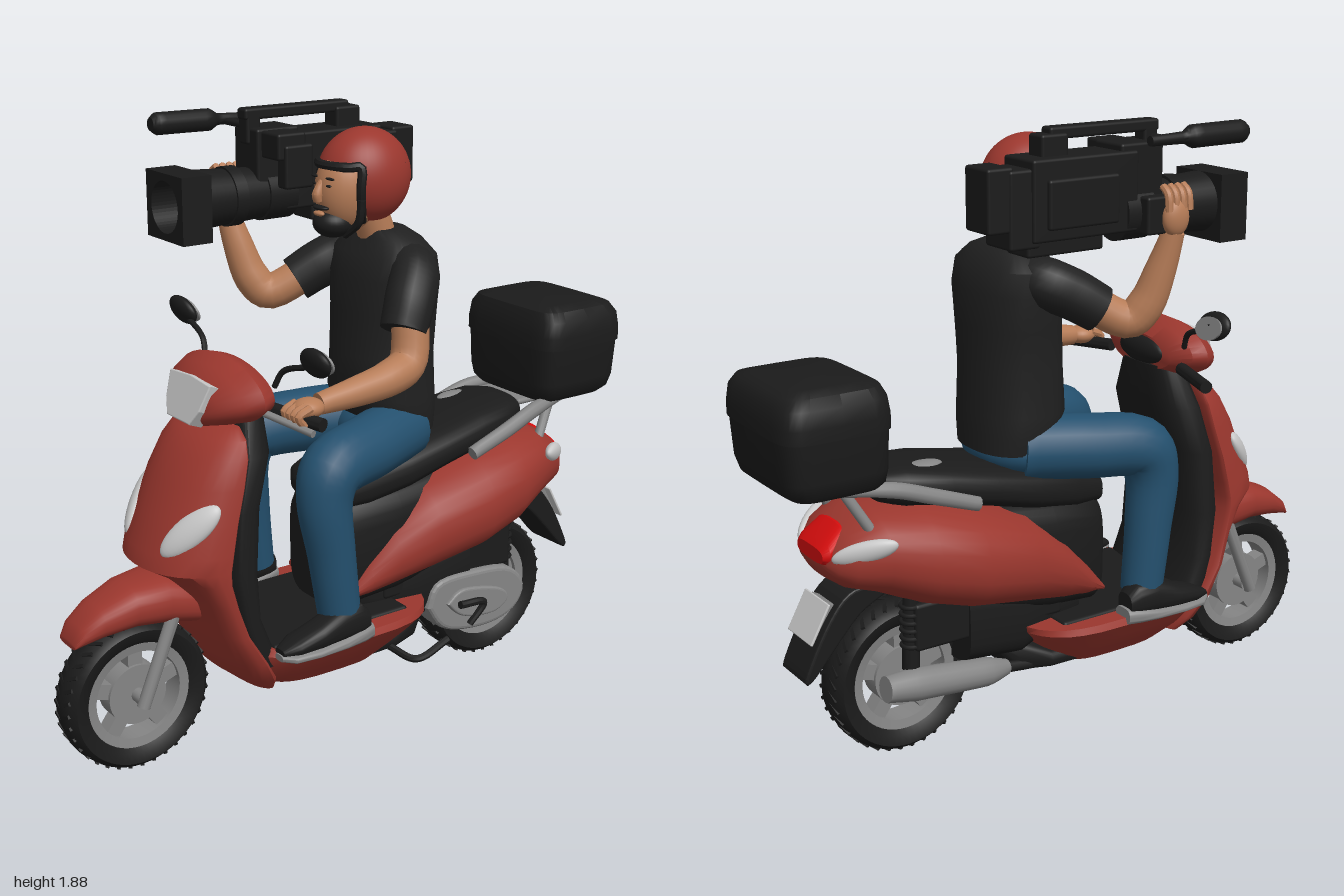
import * as THREE from 'three';
import { toCreasedNormals } from 'three/addons/utils/BufferGeometryUtils.js';
import { RoundedBoxGeometry } from 'three/addons/geometries/RoundedBoxGeometry.js';

const V = (x, y, z) => new THREE.Vector3(x, y, z);
const mat = (name, color, side = THREE.FrontSide) => {
  const m = new THREE.MeshStandardMaterial({ color, side });
  m.name = name;
  return m;
};

// Closed surface through a list of rings, capped at both ends
function skin(rings, crease = 0.7) {
  const n = rings[0].length, pts = rings.flat(), idx = [];
  for (let i = 0; i < rings.length - 1; i++) for (let j = 0; j < n; j++) {
    const a = i * n + j, b = i * n + (j + 1) % n;
    idx.push(a, b, a + n, b, b + n, a + n);
  }
  [0, rings.length - 1].forEach((r, end) => {
    const c = pts.length;
    pts.push(rings[r].reduce((s, p) => s.add(p), V(0, 0, 0)).divideScalar(n));
    for (let j = 0; j < n; j++) {
      const a = r * n + j, b = r * n + (j + 1) % n;
      idx.push(...(end ? [a, b, c] : [b, a, c]));
    }
  });
  let vol = 0;
  for (let i = 0; i < idx.length; i += 3) {
    const [a, b, c] = [0, 1, 2].map(k => pts[idx[i + k]].clone().sub(pts[0]));
    vol += a.dot(b.cross(c));
  }
  if (vol < 0) idx.reverse();
  const g = new THREE.BufferGeometry().setFromPoints(pts);
  g.setIndex(idx);
  return toCreasedNormals(g, crease);
}
const sq = (v, e) => Math.sign(v) * Math.pow(Math.abs(v), 2 / e);
const ring = (n, f) => Array.from({ length: n }, (_, j) => {
  const a = (j / n) * Math.PI * 2;
  return f(Math.cos(a), Math.sin(a));
});
// Cross-sections along z: [z, bottom, top, halfWidth]
const zLoft = (rows, e = 2.5, x = 0) => skin(rows.map(([z, b, t, w]) =>
  ring(32, (c, s) => V(x + w * sq(c, e), (b + t) / 2 + (t - b) / 2 * sq(s, e), z))));
// Cross-sections along y: [y, centreZ, halfWidth, frontDepth, backDepth]
const yLoft = (rows, e = 2.5) => skin(rows.map(([y, z, w, f, k = f]) =>
  ring(32, (c, s) => V(w * sq(c, e), y, z + (s > 0 ? f : k) * sq(s, e)))));
// Tapered limb through points: [x, y, z, radius]
function limb(pts, n = 16, steps = 18) {
  const curve = new THREE.CatmullRomCurve3(pts.map(p => V(p[0], p[1], p[2])));
  let nor = null;
  return skin(Array.from({ length: steps + 1 }, (_, i) => {
    const t = i / steps, p = curve.getPoint(t), tan = curve.getTangent(t);
    nor = nor || (Math.abs(tan.y) < 0.9 ? V(0, 1, 0) : V(1, 0, 0));
    nor = nor.clone().addScaledVector(tan, -nor.dot(tan)).normalize();
    const bi = tan.clone().cross(nor), f = t * (pts.length - 1), k = Math.min(Math.floor(f), pts.length - 2);
    const r = THREE.MathUtils.lerp(pts[k][3], pts[k + 1][3], f - k);
    return ring(n, (c, s) => p.clone().addScaledVector(nor, r * c).addScaledVector(bi, r * s));
  }));
}
const rod = (a, b, r) => limb([[...a, r], [...b, r]], 12, 1);
// Rounded outline in the z-y plane, extruded across x from x0
function sidePlate(pts, x0, depth, bevel = 0.015) {
  const s = new THREE.Shape().setFromPoints(new THREE.SplineCurve([...pts, pts[0]].map(p => new THREE.Vector2(...p))).getPoints(36).slice(0, -1));
  return new THREE.ExtrudeGeometry(s, { depth, bevelSize: bevel, bevelThickness: bevel, bevelSegments: 3 })
    .rotateY(-Math.PI / 2).translate(x0 + depth, 0, 0);
}
const ball = (x, y, z, a, b, c) => new THREE.SphereGeometry(1, 28, 20).scale(a, b, c).translate(x, y, z);
const box = (x, y, z, w, h, d, r = 0.012) => new RoundedBoxGeometry(w, h, d, 2, r).translate(x, y, z);

export function createModel() {
  const root = new THREE.Group();
  root.name = 'scooterWithCameraRider';
  const red = mat('bodyRed', 0x9b372e, THREE.DoubleSide), black = mat('black', 0x1b1b1b, THREE.DoubleSide), grey = mat('metalGrey', 0x858585),
    white = mat('lampWhite', 0xc9c9c9), skinTone = mat('skin', 0xb67c57), denim = mat('denim', 0x24506e),
    shirt = mat('shirtBlack', 0x202020), tail = mat('tailRed', 0xd50d0d), glass = mat('lensBlue', 0x2f5c7c);
  const group = name => { const g = new THREE.Group(); g.name = name; root.add(g); return g; };
  const add = (g, name, geo, m) => { const o = new THREE.Mesh(geo, m); o.name = name; g.add(o); return o; };

  // Wheels: tyre, rim, spokes, hub
  function wheel(name, y, z, R, W) {
    const g = group(name);
    g.position.set(0, y, z);
    const prof = [[.68, -.6], [.78, -.9], [.9, -1], [.97, -.7], [1, 0], [.97, .7], [.9, 1], [.78, .9], [.68, .6], [.68, -.6]]
      .map(([r, w]) => new THREE.Vector2(r * R, w * W));
    add(g, 'tyre', toCreasedNormals(new THREE.LatheGeometry(prof, 56).rotateZ(-Math.PI / 2), 0.8), black);
    const rim = [[.59, -.62], [.71, -.7], [.71, .7], [.59, .62], [.59, -.62]].map(([r, w]) => new THREE.Vector2(r * R, w * W));
    add(g, 'rim', toCreasedNormals(new THREE.LatheGeometry(rim, 48).rotateZ(-Math.PI / 2), 0.5), grey);
    add(g, 'hub', new THREE.CylinderGeometry(R * .4, R * .4, W * 1.1, 32).rotateZ(Math.PI / 2), grey);
    add(g, 'axle', new THREE.CylinderGeometry(.022, .022, W * 2.6, 16).rotateZ(Math.PI / 2), grey);
    for (let i = 0; i < 5; i++)
      add(g, 'spoke', new THREE.BoxGeometry(W * .8, R * .3, R * .2).translate(0, R * .5, 0).rotateX(i * Math.PI * .4), grey);
    for (let i = 0; i < 36; i++) for (const s of [1, -1])
      add(g, 'tread', new THREE.BoxGeometry(W * .75, .008, .011).rotateY(s * .5).translate(s * W * .38, R * .976, 0).rotateX((i + s * .25) * Math.PI / 18), black);
  }
  wheel('frontWheel', .238, .764, .236, .062);
  wheel('rearWheel', .245, -.565, .241, .066);

  // Front bodywork
  const front = group('frontBody');
  add(front, 'frontFender', zLoft([[.965, .44, .46, .05], [.94, .445, .505, .066], [.88, .455, .553, .08], [.78, .465, .593, .1], [.68, .455, .605, .115], [.58, .43, .58, .11]]), red);
  add(front, 'legShield', yLoft([[.2, .38, .17, .05, .03], [.25, .4, .215, .09, .04], [.32, .44, .24, .09, .03], [.42, .5, .238, .07, .03], [.52, .53, .232, .075, .02],
    [.6, .55, .23, .12, .02], [.64, .55, .228, .19, .02], [.69, .54, .226, .19, .02], [.78, .52, .22, .165, .02], [.88, .49, .21, .155, .02], [.96, .47, .2, .125, .02], [1.01, .46, .175, .09, .02], [1.035, .45, .12, .05, .02]], 2.1), red);
  add(front, 'innerShield', yLoft([[.3, .42, .22, .05, .07], [.45, .47, .215, .04, .06], [.6, .49, .21, .04, .08], [.8, .48, .2, .03, .09], [.95, .44, .18, .03, .1], [1.08, .41, .12, .03, .07]], 3), black);
  add(front, 'handlebarCowl', zLoft([[.35, 1.06, 1.17, .15], [.385, 1.045, 1.21, .215], [.43, 1.03, 1.222, .235], [.48, 1.03, 1.2, .205], [.53, 1.03, 1.165, .14], [.55, 1.04, 1.12, .085]], 1.9), red);
  add(front, 'instrumentPanel', ball(0, 1.12, .355, .11, .045, .03), black);
  const lamp = new THREE.Shape([[-.108, .055], [0, .063], [.108, .055], [.09, -.02], [.06, -.065], [-.06, -.065], [-.09, -.02]].map(p => new THREE.Vector2(...p)));
  const headlight = add(front, 'headlight', new THREE.ExtrudeGeometry(lamp, { depth: .04, bevelSize: .004, bevelThickness: .004 }), white);
  headlight.position.set(0, 1.1, .516);
  headlight.rotation.x = -.36;
  for (const s of [1, -1]) {
    const ind = add(front, 'frontIndicator', new THREE.SphereGeometry(1, 24, 16).scale(.045, .112, .026), white);
    const along = V(s * .055, .082, -.078).normalize(), out = V(s * .5, .25, .8);
    out.addScaledVector(along, -out.dot(along)).normalize();
    ind.position.set(s * .152, .766, .637);
    ind.quaternion.setFromRotationMatrix(new THREE.Matrix4().makeBasis(along.clone().cross(out), along, out));
    add(front, 'fork', rod([s * .085, .22, .775], [s * .085, .52, .65], .02), grey);
    add(front, 'grip', rod([s * .18, 1.09, .37], [s * .36, 1.08, .32], .02), black);
    add(front, 'mirrorStem', limb([[s * .19, 1.16, .37, .009], [s * .22, 1.21, .36, .009], [s * .34, 1.25, .345, .009]], 8), black);
    const mirror = add(front, 'mirror', new THREE.SphereGeometry(1, 24, 16).scale(.068, .045, .024), black);
    mirror.position.set(s * .36, 1.266, .345);
    mirror.rotation.set(.3, 0, s * .12);
    const face = add(front, 'mirrorGlass', new THREE.CylinderGeometry(1, 1, .006, 28).rotateX(Math.PI / 2).scale(.056, .036, 1), grey);
    face.position.set(s * .36, 1.262, .322);
    face.rotation.copy(mirror.rotation);
  }
  add(front, 'brakeLever', rod([.2, 1.09, .41], [.37, 1.065, .36], .011), grey);

  // Floor and underside
  const floor = group('floor');
  add(floor, 'floorSkirt', yLoft([[.19, .12, .17, .25, .17], [.24, .12, .215, .33, .23], [.29, .12, .255, .36, .29], [.335, .12, .29, .35, .33], [.355, .12, .28, .34, .335]], 3.4), red);
  add(floor, 'floorMat', box(0, .348, .15, .44, .03, .5), black);
  add(floor, 'bellyPan', zLoft([[.36, .2, .24, .13], [.25, .183, .25, .17], [-.1, .183, .25, .16], [-.2, .18, .3, .13], [-.25, .24, .3, .1]], 4), black);
  add(floor, 'sideStand', limb([[.15, .2, -.08, .012], [.24, .18, -.12, .012], [.25, .22, -.24, .012]], 8), black);

  // Rear bodywork and seat
  const rear = group('rearBody');
  add(rear, 'seatBase', zLoft([[.11, .36, .7, .13], [.07, .36, .73, .165], [-.1, .38, .75, .19], [-.4, .42, .77, .16]], 4), black);
  add(rear, 'tailPanel', zLoft([[.09, .4, .44, .17], [.02, .39, .54, .2], [-.07, .395, .645, .225], [-.2, .42, .74, .26], [-.4, .455, .8, .283], [-.55, .5, .825, .265], [-.68, .56, .82, .215], [-.77, .59, .775, .17], [-.81, .62, .735, .125], [-.828, .65, .7, .09]], 2.4), red);
  add(rear, 'seat', zLoft([[.125, .7, .76, .1], [.1, .68, .795, .14], [0, .68, .835, .165], [-.15, .71, .86, .18], [-.3, .75, .885, .175], [-.45, .78, .915, .165], [-.58, .8, .93, .14], [-.64, .82, .92, .11], [-.66, .85, .89, .07]], 2.8), black);
  add(rear, 'seatBadge', ball(-.065, .909, -.5, .032, .015, .066), grey);
  add(rear, 'tailLight', zLoft([[-.7, .7, .765, .07], [-.77, .675, .783, .085], [-.82, .665, .74, .095], [-.838, .675, .72, .08]], 3), tail);
  add(rear, 'rackPlate', box(0, .9, -.77, .2, .02, .26), grey);
  add(rear, 'mudguard', sidePlate([[-.62, .56], [-.74, .57], [-.82, .49], [-.895, .345], [-.88, .34], [-.8, .43], [-.72, .51]], -.07, .14, .008), black);
  add(rear, 'plateBracket', box(0, 0, 0, .1, .13, .04, .005).rotateX(.5).translate(0, .485, -.83), grey);
  add(rear, 'numberPlate', box(0, 0, 0, .15, .13, .008, .003).rotateX(.5).translate(0, .495, -.851), white);
  for (const s of [1, -1]) {
    const ind = add(rear, 'rearIndicator', ball(0, 0, 0, .024, .034, .1), white);
    ind.position.set(s * .16, .724, -.745);
    ind.rotation.set(-.36, s * .64, 0);
    add(rear, 'grabRail', limb([[s * .18, .8, -.38, .022], [s * .18, .85, -.52, .024], [s * .165, .895, -.66, .024], [s * .1, .91, -.88, .015]], 10), grey);
    add(rear, 'rackStrut', rod([s * .1, .9, -.78], [s * .13, .76, -.7], .016), grey);
    add(rear, 'shockAbsorber', rod([s * .11, .3, -.58], [s * .11, .6, -.57], .026), black);
    for (let i = 0; i < 6; i++)
      add(rear, 'springCoil', new THREE.TorusGeometry(.03, .007, 6, 18).rotateX(Math.PI / 2).translate(s * .11, .38 + i * .025, -.575), black);
  }
  add(rear, 'topBoxBase', yLoft([[.91, -.815, .18, .135], [.93, -.82, .2, .155], [.97, -.823, .21, .164], [1.09, -.825, .218, .168]], 6), black);
  add(rear, 'topBoxLid', yLoft([[1.09, -.825, .223, .173], [1.13, -.825, .223, .173], [1.18, -.825, .216, .166], [1.21, -.822, .195, .15], [1.222, -.82, .15, .12]], 6), black);

  // Engine and exhaust
  const engine = group('engine');
  add(engine, 'engineBlock', zLoft([[.02, .34, .44, .13], [-.2, .25, .5, .16], [-.4, .27, .53, .16]], 4), black);
  for (const s of [1, -1]) add(engine, 'sideCover', box(s * .12, .44, -.32, .06, .15, .52), black);
  add(engine, 'driveCover', sidePlate([[-.235, .3], [-.27, .365], [-.4, .37], [-.55, .35], [-.615, .28], [-.57, .21], [-.45, .19], [-.3, .22]], .09, .07), grey);
  add(engine, 'coverInset', sidePlate([[-.3, .3], [-.36, .33], [-.5, .3], [-.54, .26], [-.48, .23], [-.36, .25]], .16, .02, .008), grey);
  add(engine, 'kickStarter', limb([[.19, .21, -.38, .011], [.2, .28, -.43, .012], [.2, .295, -.33, .013]], 8), black);
  add(engine, 'muffler', limb([[-.12, .22, -.25, .025], [-.13, .23, -.33, .045], [-.135, .26, -.58, .05], [-.135, .27, -.68, .04]]), grey);
  add(engine, 'exhaustPipe', limb([[-.08, .25, .02, .016], [-.12, .21, -.1, .016], [-.12, .22, -.27, .018]], 10), black);

  // Rider body
  const rider = group('rider');
  add(rider, 'shirtTorso', yLoft([[.905, -.175, .165, .1, .118], [.96, -.16, .178, .13, .134], [1.02, -.15, .18, .145, .144], [1.15, -.15, .172, .14], [1.28, -.16, .185, .14, .13], [1.39, -.165, .2, .14, .125], [1.46, -.165, .195, .12, .11], [1.505, -.16, .14, .085], [1.53, -.15, .075, .065]], 2.4), shirt);
  add(rider, 'hips', ball(0, .9, -.15, .18, .095, .138), denim);
  add(rider, 'neck', limb([[0, 1.48, -.14, .06], [0, 1.62, -.09, .055]]), skinTone);
  for (const s of [1, -1]) {
    add(rider, 'trouserLeg', limb([[s * .09, .91, -.17, .1], [s * .165, .9, .02, .1], [s * .215, .875, .19, .096], [s * .225, .8, .222, .085], [s * .235, .62, .205, .073], [s * .24, .42, .18, .066]], 20, 26), denim);
    add(rider, 'shoe', zLoft([[.1, .36, .43, .035], [.13, .35, .46, .048], [.2, .35, .46, .052], [.28, .35, .425, .054], [.36, .35, .4, .048], [.41, .355, .375, .025]], 2.5, s * .262), black);
    add(rider, 'shoeSole', zLoft([[.09, .333, .385, .036], [.13, .333, .385, .051], [.2, .333, .37, .057], [.3, .333, .362, .058], [.38, .333, .36, .048], [.415, .34, .36, .02]], 3, s * .265), grey);
  }
  add(rider, 'leftSleeve', limb([[.11, 1.435, -.16, .07], [.175, 1.415, -.14, .076], [.22, 1.35, -.09, .076], [.242, 1.27, -.05, .071]]), shirt);
  add(rider, 'leftArm', limb([[.235, 1.32, -.08, .056], [.265, 1.18, -.05, .057], [.285, 1.15, .03, .054], [.285, 1.13, .15, .045], [.28, 1.115, .28, .032]]), skinTone);
  add(rider, 'rightSleeve', limb([[-.11, 1.435, -.16, .07], [-.17, 1.42, -.13, .077], [-.205, 1.385, -.06, .075], [-.235, 1.34, .01, .071]]), shirt);
  add(rider, 'rightArm', limb([[-.22, 1.36, -.02, .056], [-.275, 1.305, .09, .056], [-.3, 1.35, .13, .056], [-.328, 1.46, .163, .046], [-.355, 1.57, .185, .033]]), skinTone);
  add(rider, 'leftHand', ball(.285, 1.112, .32, .045, .03, .05), skinTone);
  add(rider, 'rightHand', ball(-.368, 1.61, .18, .028, .055, .045), skinTone);
  for (let i = 0; i < 4; i++) {
    add(rider, 'leftFinger', limb([[.255 + i * .024, 1.125, .34, .013], [.255 + i * .024, 1.105, .38, .012], [.255 + i * .024, 1.075, .36, .011]], 8, 8), skinTone);
    add(rider, 'rightFinger', limb([[-.378, 1.63, .15 + i * .024, .012], [-.37, 1.68, .15 + i * .024, .012], [-.345, 1.7, .15 + i * .024, .011]], 8, 8), skinTone);
  }

  // Head and open-face helmet
  const head = group('head');
  add(head, 'face', ball(0, 1.655, -.02, .09, .128, .102), skinTone);
  add(head, 'beard', ball(0, 1.562, .03, .06, .045, .064), black);
  add(head, 'moustache', ball(0, 1.611, .074, .034, .008, .02), black);
  add(head, 'mouth', ball(0, 1.594, .082, .024, .008, .012), skinTone);
  add(head, 'nose', limb([[0, 1.69, .07, .01], [0, 1.65, .088, .017], [0, 1.63, .085, .014]], 10, 8), skinTone);
  for (const s of [1, -1]) {
    add(head, 'eye', ball(s * .034, 1.678, .071, .012, .004, .006), black);
    add(head, 'eyebrow', ball(s * .036, 1.699, .068, .022, .004, .007), black);
    add(head, 'chinStrap', limb([[s * .1, 1.64, 0, .012], [s * .085, 1.57, 0, .012], [s * .03, 1.525, .01, .012]], 8), black);
  }
  const shell = (r, p0, pl, t0, tl) => new THREE.SphereGeometry(r, 40, 20, p0, pl, t0, tl).scale(.88, 1, 1.02).translate(-.005, 1.69, -.085);
  const open = .95, cut = 1.27;
  add(head, 'helmetCrown', shell(.145, 0, Math.PI * 2, 0, cut), red);
  add(head, 'helmetSides', shell(.145, Math.PI / 2 + open, Math.PI * 2 - open * 2, cut, 1.35), red);
  add(head, 'helmetPadding', shell(.138, Math.PI / 2 + open, Math.PI * 2 - open * 2, cut, 1.45), black);
  const edge = (phi, th) => [-.005 - .1276 * Math.cos(phi) * Math.sin(th), 1.69 + .145 * Math.cos(th), -.085 + .148 * Math.sin(phi) * Math.sin(th), .014];
  const trim = [2.6, 2.1, 1.7, cut].map(t => edge(Math.PI / 2 - open, t));
  for (let i = 1; i < 8; i++) trim.push(edge(Math.PI / 2 - open + open * i / 4, cut));
  trim.push(...[cut, 1.7, 2.1, 2.6].map(t => edge(Math.PI / 2 + open, t)));
  add(head, 'helmetTrim', limb(trim, 8, 48), black);

  // Shoulder camera
  const cam = group('shoulderCamera');
  const barrel = (name, r0, r1, z0, z1) => add(cam, name, new THREE.CylinderGeometry(r1, r0, z1 - z0, 32).rotateX(Math.PI / 2).translate(-.25, 1.625, (z0 + z1) / 2), black);
  [[.085, .085, .04, .14], [.078, .082, .14, .22], [.09, .09, .22, .26], [.084, .09, .26, .36]].forEach((b, i) => barrel('lensRing' + i, ...b));
  const frame = new THREE.Shape([[-.105, -.1], [.105, -.1], [.105, .1], [-.105, .1]].map(p => new THREE.Vector2(...p)));
  frame.holes.push(new THREE.Path().absarc(0, 0, .078, 0, Math.PI * 2, true));
  add(cam, 'lensHood', new THREE.ExtrudeGeometry(frame, { depth: .1, bevelEnabled: false, curveSegments: 24 }).translate(-.25, 1.615, .36), black);
  add(cam, 'lensGlass', ball(-.25, 1.625, .36, .052, .052, .025), glass);
  const boxes = [['cameraBody', -.25, 1.69, -.1, .15, .23, .36], ['shoulderPad', -.24, 1.555, -.15, .11, .05, .26], ['rearBlock', -.25, 1.67, -.3, .13, .22, .1],
    ['battery', -.25, 1.7, -.375, .12, .18, .085], ['topHandle', -.25, 1.865, 0, .05, .035, .38], ['handleFrontPost', -.25, 1.82, .16, .05, .09, .05],
    ['handleRearPost', -.25, 1.82, -.18, .07, .09, .09], ['frontMount', -.25, 1.74, .1, .13, .17, .15], ['viewfinder', -.15, 1.78, .11, .11, .08, .1],
    ['eyepiece', -.11, 1.72, .09, .05, .13, .1], ['lensServo', -.34, 1.62, .16, .045, .11, .15], ['sidePanel', -.335, 1.68, -.12, .02, .14, .24], ['micBracket', -.31, 1.83, .17, .12, .02, .03]];
  boxes.forEach(([n, ...b]) => add(cam, n, box(...b, .009), black));
  add(cam, 'microphone', limb([[-.372, 1.835, .08, .015], [-.372, 1.837, .2, .018], [-.372, 1.838, .23, .034], [-.372, 1.84, .41, .034], [-.372, 1.84, .43, .02]], 16, 24), black);
  return root;
}
